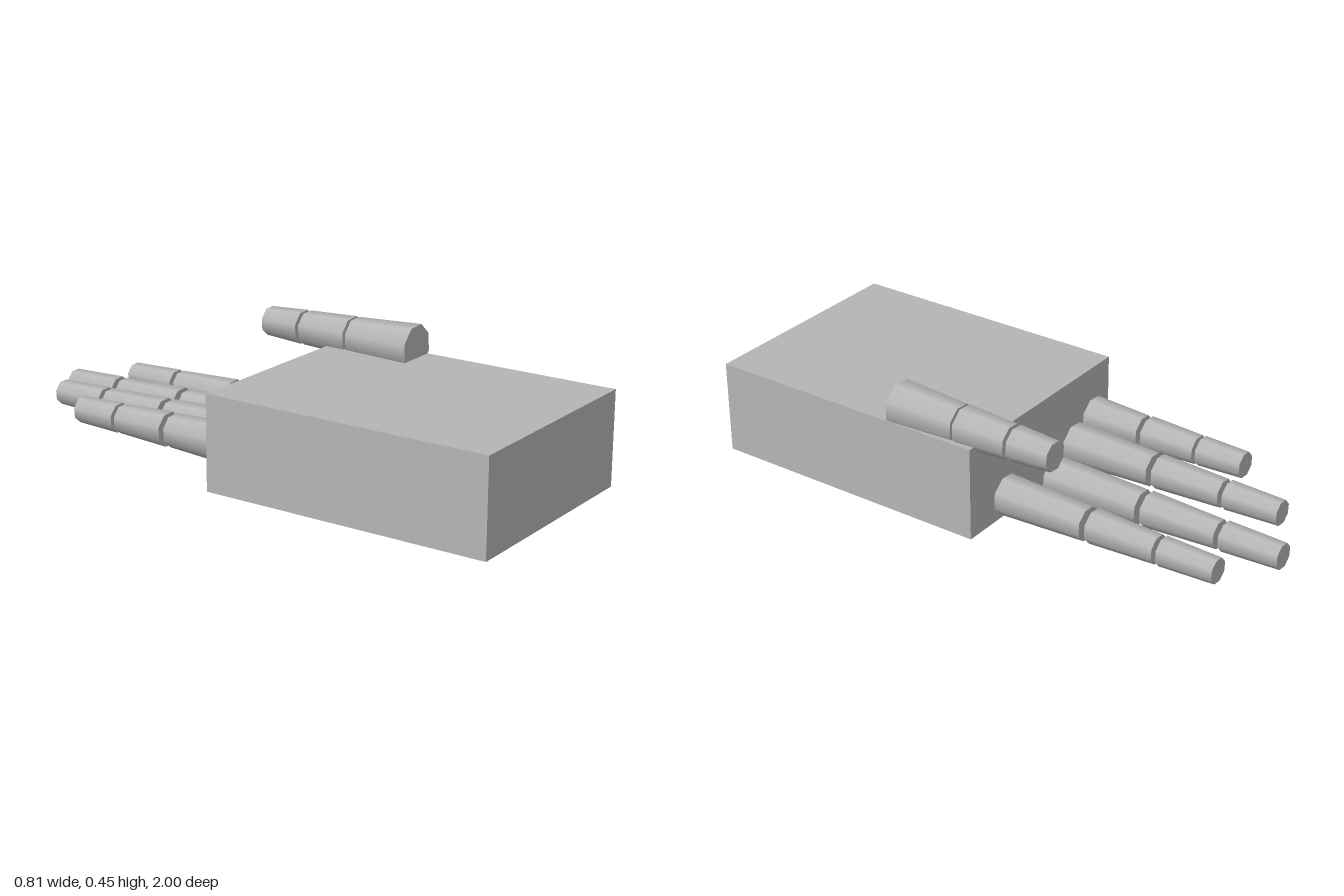
import * as THREE from 'three';

const grey = new THREE.MeshStandardMaterial({ color: 0xb6b6b6 });
grey.name = 'grey';

// Each digit: centre line (x, y) and three tapered bones as [zStart, zEnd, rStart, rEnd]
const DIGITS = [
  { name: 'thumb', x: 0.327, y: 0.37, bones: [
    [0.287, 0.037, 0.083, 0.069], [0.027, -0.165, 0.070, 0.061], [-0.178, -0.328, 0.061, 0.052]] },
  { name: 'indexFinger', x: 0.23, y: 0.098, bones: [
    [-0.068, -0.393, 0.071, 0.059], [-0.414, -0.660, 0.060, 0.050], [-0.676, -0.876, 0.051, 0.044]] },
  { name: 'middleFinger', x: 0.04, y: 0.098, bones: [
    [-0.130, -0.481, 0.072, 0.060], [-0.502, -0.772, 0.062, 0.050], [-0.790, -1.000, 0.052, 0.045]] },
  { name: 'ringFinger', x: -0.15, y: 0.124, bones: [
    [-0.080, -0.404, 0.071, 0.059], [-0.424, -0.674, 0.060, 0.050], [-0.690, -0.889, 0.051, 0.044]] },
  { name: 'littleFinger', x: -0.317, y: 0.146, bones: [
    [-0.010, -0.256, 0.071, 0.058], [-0.274, -0.474, 0.060, 0.051], [-0.487, -0.655, 0.052, 0.046]] },
];

// Eight-sided tapered bone pointing towards -z, with its corners turned about its axis
function bone([z0, z1, r0, r1]) {
  const geo = new THREE.CylinderGeometry(r1, r0, z0 - z1, 8, 1, false, 0.323);
  geo.rotateX(-Math.PI / 2);
  geo.translate(0, 0, (z0 + z1) / 2);
  return new THREE.Mesh(geo, grey);
}

export function createModel() {
  const hand = new THREE.Group();
  hand.name = 'hand';

  // Palm block
  const palm = new THREE.Mesh(new THREE.BoxGeometry(0.808, 0.334, 1.047), grey);
  palm.name = 'palm';
  palm.position.set(-0.005, 0.167, 0.4765);
  hand.add(palm);

  // Thumb and fingers, with open gaps at the joints
  for (const { name, x, y, bones } of DIGITS) {
    const digit = new THREE.Group();
    digit.name = name;
    digit.position.set(x, y, 0);
    bones.forEach((b, i) => {
      const mesh = bone(b);
      mesh.name = name + ['Base', 'Middle', 'Tip'][i];
      digit.add(mesh);
    });
    hand.add(digit);
  }
  return hand;
}
